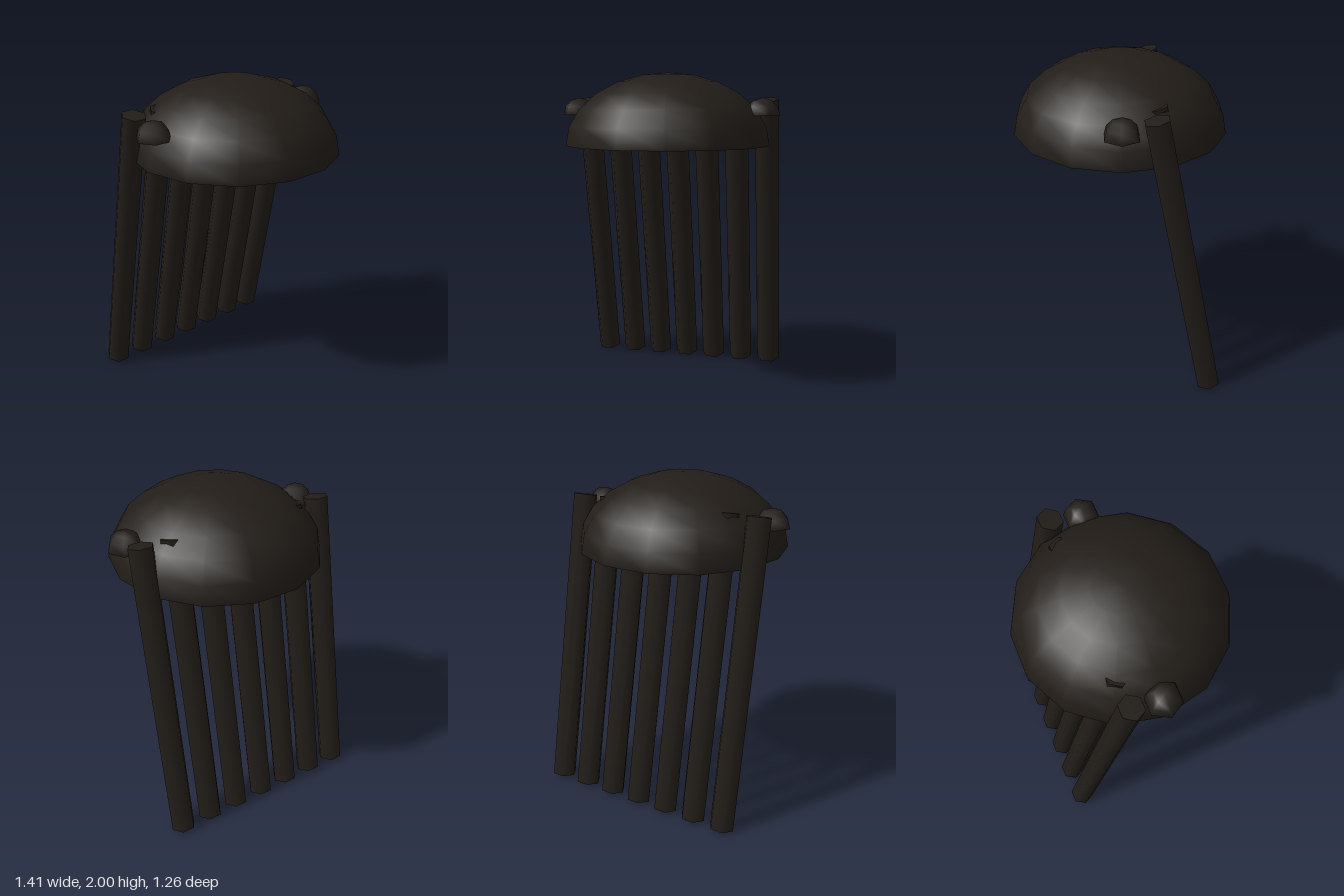
import * as THREE from 'three';

export function createModel() {
  const group = new THREE.Group();
  const hair = new THREE.MeshStandardMaterial({ color: 0x221d18, side: THREE.DoubleSide });

  const add = (name, geometry, x, y, z) => {
    const mesh = new THREE.Mesh(geometry, hair);
    mesh.name = name;
    mesh.position.set(x, y, z);
    group.add(mesh);
    return mesh;
  };

  // Open half dome with the given number of sides and rows
  const dome = (radius, sides, rows) =>
    new THREE.SphereGeometry(radius, sides, rows, 0, Math.PI * 2, 0, Math.PI / 2);

  // Flattened cap of hair
  const cap = add('hairCap', dome(0.645, 14, 6), 0, 1.55, 0);
  cap.scale.y = 0.45 / 0.645;

  // Small tufts on both sides
  add('leftTuft', dome(0.11, 6, 3), 0.595, 1.735, 0);
  add('rightTuft', dome(0.11, 6, 3), -0.595, 1.735, 0);

  // Row of long six-sided strands, slanting backwards
  const strand = new THREE.CylinderGeometry(0.077, 0.077, 1.855, 6).rotateY(Math.PI / 2);
  for (let i = -3; i <= 3; i++) {
    add('hairStrand' + (i + 4), strand, i * 0.199, 0.924, -0.371).rotation.x = 0.2;
  }

  return group;
}
